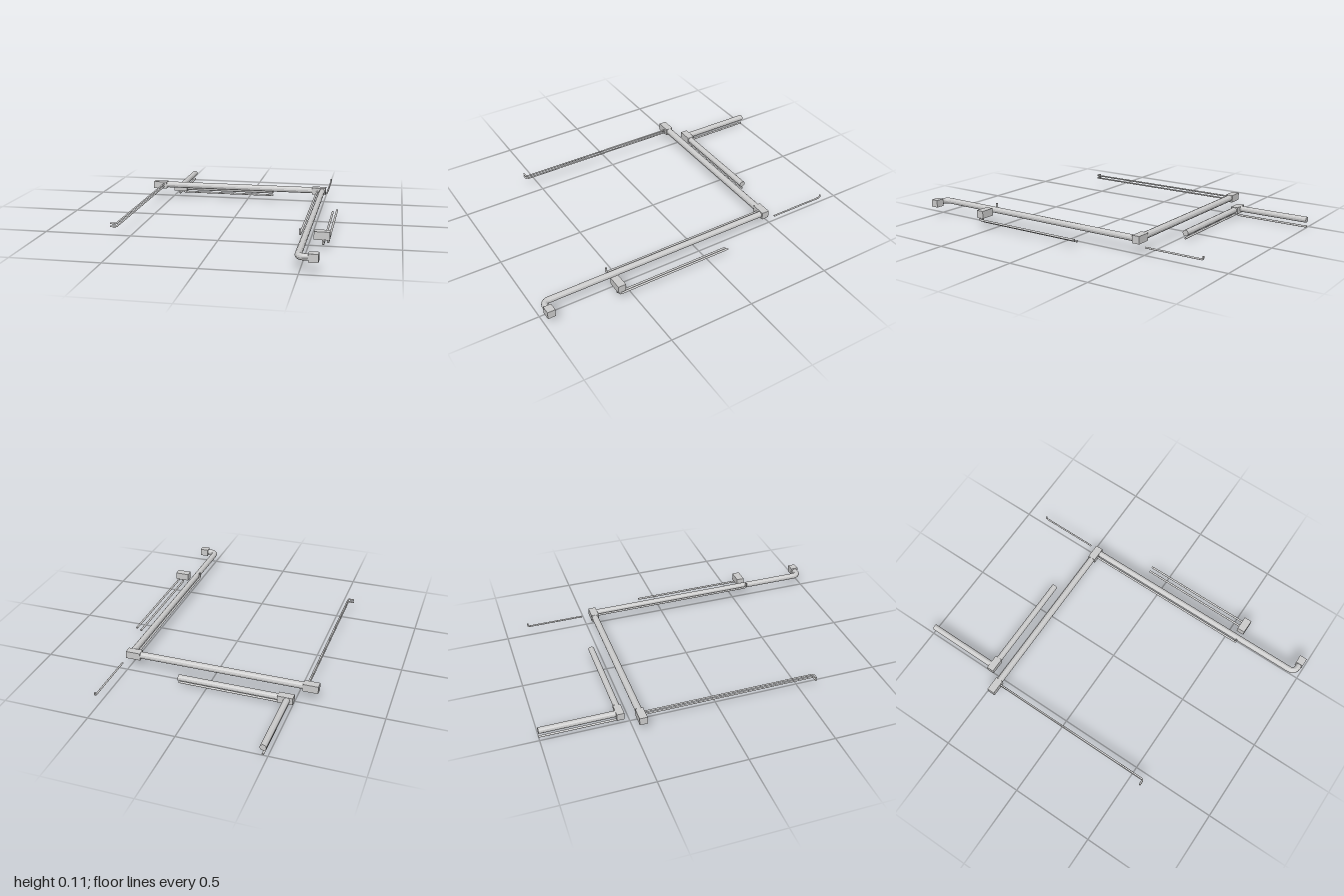
import * as THREE from 'three';

const material = new THREE.MeshStandardMaterial({ color: 0xcccccc, flatShading: true });

// Path made of straight runs joined by rounded corners
class ConduitPath extends THREE.Curve {
  constructor(corners, bend) {
    super();
    const p = corners.map((c) => new THREE.Vector3(...c));
    this.points = [p[0]];
    for (let i = 1; i < p.length - 1; i++) {
      const a = p[i].clone().add(p[i - 1].clone().sub(p[i]).setLength(bend));
      const b = p[i].clone().add(p[i + 1].clone().sub(p[i]).setLength(bend));
      this.points.push(...new THREE.QuadraticBezierCurve3(a, p[i], b).getPoints(6));
    }
    this.points.push(p[p.length - 1]);
  }
  getPoint(t, target = new THREE.Vector3()) {
    const n = this.points.length - 1;
    const i = Math.min(Math.floor(t * n + 1e-9), n - 1);
    return target.lerpVectors(this.points[i], this.points[i + 1], t * n - i);
  }
  getPointAt(u, target) { return this.getPoint(u, target); }
  getTangentAt(u, target) { return this.getTangent(u, target); }
}

// Round conduit with closed ends
function pipe(name, radius, corners, bend = 0.012) {
  const group = new THREE.Group();
  group.name = name;
  const path = new ConduitPath(corners, bend);
  const sides = 12;
  group.add(new THREE.Mesh(new THREE.TubeGeometry(path, path.points.length - 1, radius, sides), material));
  const pts = path.points, n = pts.length;
  for (const [end, inner] of [[pts[0], pts[1]], [pts[n - 1], pts[n - 2]]]) {
    const cap = new THREE.Mesh(new THREE.CircleGeometry(radius, sides), material);
    cap.position.copy(end);
    cap.lookAt(end.clone().multiplyScalar(2).sub(inner));
    group.add(cap);
  }
  return group;
}

// Box given by its extents on each axis
function box(name, [x0, x1], [y0, y1], [z0, z1]) {
  const mesh = new THREE.Mesh(new THREE.BoxGeometry(x1 - x0, y1 - y0, z1 - z0), material);
  mesh.position.set((x0 + x1) / 2, (y0 + y1) / 2, (z0 + z1) / 2);
  mesh.name = name;
  return mesh;
}

export function createModel() {
  const model = new THREE.Group();
  model.name = 'conduitRun';

  // Junction boxes
  const high = [0.06, 0.104];
  model.add(
    box('backRightBox', [-0.622, -0.535], high, [-0.477, -0.432]),
    box('backLeftBox', [0.428, 0.515], high, [-0.477, -0.432]),
    box('frontEndBox', [0.545, 0.596], high, [0.946, 0.991]),
    box('sideBox', [0.535, 0.62], high, [0.545, 0.591]),
    box('lowerBox', [-0.507, -0.42], [0.025, 0.066], [-0.573, -0.53]),
  );

  // Wide conduits
  model.add(
    pipe('backConduit', 0.02, [[-0.54, 0.084, -0.455], [0.435, 0.084, -0.455]]),
    pipe('sideConduit', 0.018, [[0.491, 0.082, -0.44], [0.491, 0.082, 0.971], [0.55, 0.082, 0.971]], 0.04),
    pipe('lowerCrossConduit', 0.018, [[-0.43, 0.047, -0.55], [0.16, 0.047, -0.55]]),
    pipe('lowerRearConduit', 0.018, [[-0.473, 0.048, -0.56], [-0.473, 0.048, -1]]),
  );

  // Thin pair from the back right box, each hooked outwards at the front
  for (const y of [0.073, 0.09]) {
    model.add(pipe('rightThinConduit', 0.005, [[-0.555, y, -0.44], [-0.555, y, 0.578], [-0.59, y, 0.578]]));
  }

  // Thin pair dropping out of the side box and running back
  for (const [x, y] of [[0.585, 0.032], [0.611, 0.045]]) {
    model.add(pipe('sideThinConduit', 0.006, [[x, 0.07, 0.579], [x, y, 0.579], [x, y, -0.12]]));
  }

  // Thin conduits dropping out of the lower box
  model.add(
    pipe('lowerCrossThinConduit', 0.006, [[-0.446, 0.04, -0.55], [-0.446, 0.017, -0.55], [0.16, 0.017, -0.55]]),
    pipe('lowerRearThinConduit', 0.006, [[-0.473, 0.035, -0.55], [-0.473, 0.006, -0.55], [-0.473, 0.006, -1]]),
  );

  // Thin conduits with an upturned end
  model.add(
    pipe('innerThinConduit', 0.006, [[0.461, 0.081, -0.44], [0.461, 0.081, 0.578], [0.461, 0.113, 0.578]]),
    pipe('rearThinConduit', 0.005, [[0.518, 0.052, -0.52], [0.518, 0.052, -0.866], [0.518, 0.071, -0.866]]),
  );

  return model;
}
